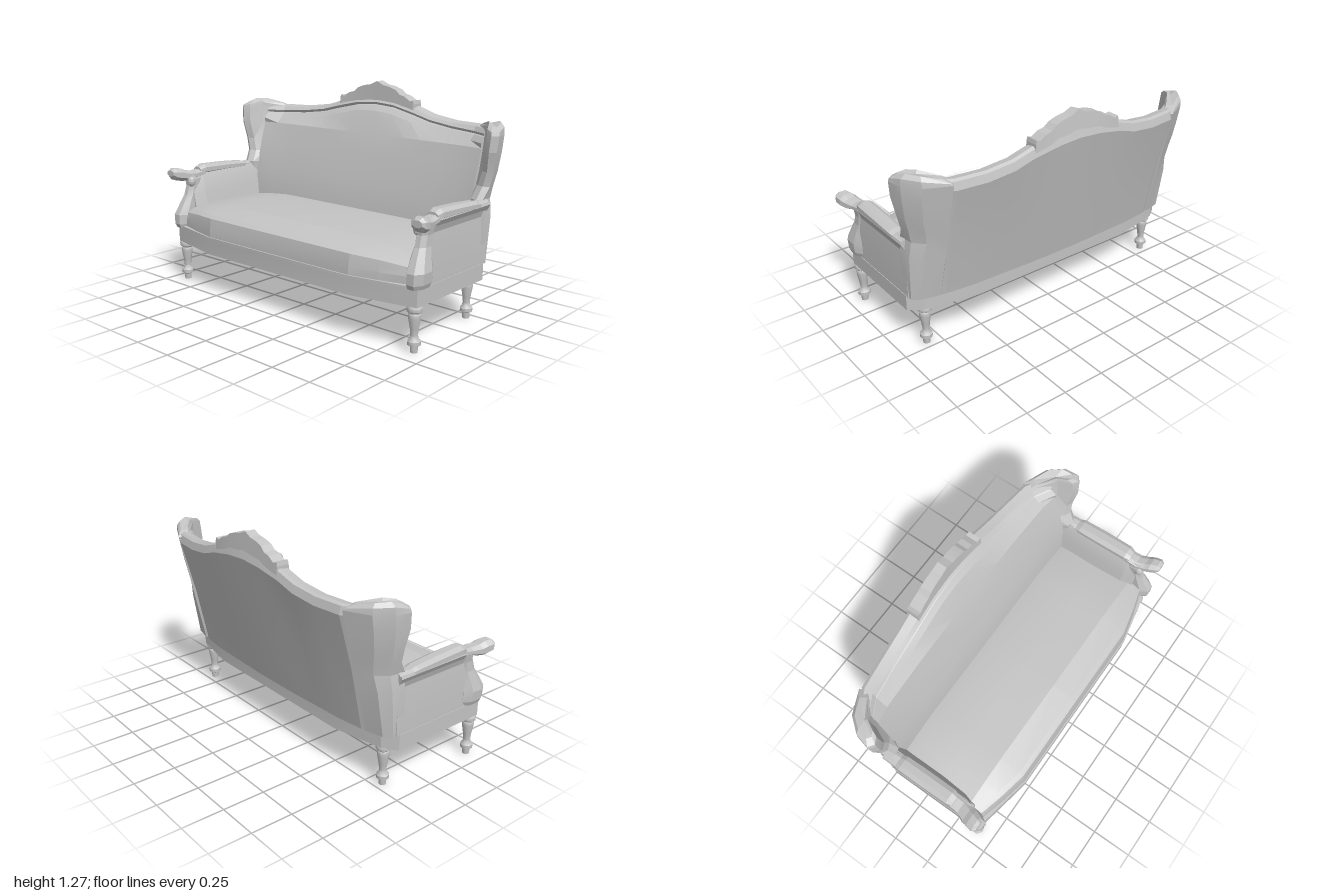
import * as THREE from 'three';
import { toCreasedNormals } from 'three/addons/utils/BufferGeometryUtils.js';

const fabric = new THREE.MeshStandardMaterial({ color: 0xc4c4c4 });
fabric.name = 'pale grey';

function part(name, geometry, crease = 0.2) {
  const mesh = new THREE.Mesh(toCreasedNormals(geometry, crease), fabric);
  mesh.name = name;
  return mesh;
}

// Closed skin through equal rings of [x, y, z] points, capped at both ends
function loft(rings) {
  const n = rings[0].length, m = rings.length;
  const pts = rings.flat();
  const tris = [];
  for (let r = 0; r < m - 1; r++) {
    for (let i = 0; i < n; i++) {
      const a = r * n + i, b = r * n + (i + 1) % n;
      tris.push([a, b, b + n], [a, b + n, a + n]);
    }
  }
  for (const r of [0, m - 1]) {
    const c = [0, 1, 2].map(k => rings[r].reduce((sum, p) => sum + p[k], 0) / n);
    const ci = pts.push(c) - 1;
    for (let i = 0; i < n; i++) {
      const a = r * n + i, b = r * n + (i + 1) % n;
      tris.push(r === 0 ? [b, a, ci] : [a, b, ci]);
    }
  }
  // Turn the skin outward whichever way the rings run
  const v = pts.map(p => new THREE.Vector3(...p));
  let volume = 0;
  for (const [a, b, c] of tris) volume += v[a].dot(v[b].clone().cross(v[c]));
  if (volume < 0) tris.forEach(t => t.reverse());
  const geometry = new THREE.BufferGeometry().setFromPoints(v);
  geometry.setIndex(tris.flat());
  return geometry;
}

// Horizontal slab from a half outline of [x, z], mirrored in x
function slab(half, y0, y1) {
  const plan = [...half, ...half.map(([x, z]) => [-x, z]).reverse()];
  return loft([y0, y1].map(y => plan.map(([x, z]) => [x, y, z])));
}

// Eight-sided bevelled cross-section as [u, v]
function bevelled(u0, u1, v0, v1, k = 0.28) {
  const du = (u1 - u0) * k, dv = (v1 - v0) * k;
  return [[u0 + du, v0], [u1 - du, v0], [u1, v0 + dv], [u1, v1 - dv],
    [u1 - du, v1], [u0 + du, v1], [u0, v1 - dv], [u0, v0 + dv]];
}

// Half rows [x, ...] listed from the centre out, spread to both sides
const bothSides = rows => [
  ...rows.slice(1).reverse().map(([x, ...rest]) => [-x, ...rest]), ...rows];

function backrest() {
  // x, top height, back z at top, back z at bottom, cushion top height
  const stations = bothSides([
    [0, 1.175, -0.50, -0.32, 1.125],
    [0.14, 1.165, -0.498, -0.32, 1.115],
    [0.30, 1.135, -0.49, -0.315, 1.08],
    [0.42, 1.098, -0.485, -0.31, 1.05],
    [0.58, 1.077, -0.472, -0.305, 1.03],
    [0.75, 1.075, -0.45, -0.285, 1.02],
    [0.85, 1.075, -0.395, -0.24, 1.02],
  ]);
  return loft(stations.map(([x, top, zt, zb, inner]) => {
    const d = zt + 0.5;
    return [
      [x, 0.33, zb], [x, 0.7, (zb + zt) / 2 + 0.005], [x, top - 0.055, zt], [x, top - 0.01, zt + 0.012],
      [x, top, zt + 0.03], [x, top - 0.01, zt + 0.08], [x, inner + 0.02, zt + 0.1],
      [x, inner + 0.005, zt + 0.09], [x, inner, zt + 0.1], [x, inner - 0.03, zt + 0.13],
      [x, 0.96, -0.305 + d * 0.3], [x, 0.85, -0.268 + d * 0.3], [x, 0.68, -0.215 + d * 0.2],
      [x, 0.52, -0.175], [x, 0.34, -0.16],
    ];
  }));
}

function wing(s) {
  const low = [[0.93, -0.15], [0.90, -0.14], [0.86, -0.15], [0.82, -0.20],
    [0.74, -0.24], [0.78, -0.287], [0.89, -0.262], [0.93, -0.228]];
  const high = [[1.0, -0.205], [0.965, -0.18], [0.925, -0.20], [0.88, -0.28],
    [0.74, -0.40], [0.77, -0.449], [0.91, -0.38], [0.98, -0.29]];
  // Lowering of each point round the rolled top
  const drop = [0.02, 0.02, 0.01, 0, 0.03, 0.03, 0.005, 0];
  // height, shift in x, shift of the front edge, scale about the middle
  const levels = [[0.335, 0, 0, 1], [0.6, -0.01, 0, 1], [0.7, -0.03, 0.01, 1], [0.77, -0.022, -0.025, 1],
    [0.85, -0.008, -0.025, 1], [0.96, 0, 0, 1], [1.05, 0, 0, 1], [1.09, 0, 0, 0.96], [1.113, -0.005, 0, 0.7]];
  return loft(levels.map(([y, dx, dz, k]) => low.map(([x, z], i) => {
    const t = Math.min(1, (y - 0.335) / 0.72);
    const px = x + (high[i][0] - x) * t + (i === 4 || i === 5 ? 0 : dx);
    const pz = z + (high[i][1] - z) * t + (i < 3 ? dz : 0);
    return [s * (0.9 + (px - 0.9) * k), y - (y > 1.06 ? drop[i] : 0), -0.31 + (pz + 0.31) * k];
  })));
}

function seat() {
  // x, front z, drop of the top
  const stations = bothSides([[0, 0.492, 0], [0.55, 0.492, 0], [0.72, 0.455, 0.015], [0.88, 0.41, 0.045]]);
  return loft(stations.map(([x, zf, drop]) => [
    [x, 0.34, zf], [x, 0.40, zf], [x, 0.47 - drop * 0.6, zf - 0.012], [x, 0.485 - drop * 0.6, zf - 0.04],
    [x, 0.522 - drop, 0.32], [x, 0.526 - drop, 0.1], [x, 0.522 - drop, -0.12], [x, 0.51 - drop, -0.2], [x, 0.34, -0.2],
  ]));
}

function arm(s) {
  const group = new THREE.Group();
  group.name = s > 0 ? 'leftArm' : 'rightArm';
  // Upholstered side panel, flaring out to meet the pad
  const panel = [[0.937, 0.34], [0.937, 0.5], [0.93, 0.61], [0.942, 0.645], [0.96, 0.675], [0.955, 0.69],
    [0.875, 0.685], [0.855, 0.64], [0.835, 0.56], [0.815, 0.46], [0.82, 0.34]];
  group.add(part('armPanel', loft([[-0.21, 0], [0.1, 0], [0.27, 0.012], [0.345, 0.035]].map(([z, inset]) =>
    panel.map(([x, y]) => [s * (x < 0.88 ? x + inset : Math.min(x, 0.972 - inset)), y, z])))));
  // Padded arm top: z, half width, bottom, top
  const pad = [[-0.21, 0.03, 0.65, 0.705], [-0.12, 0.04, 0.66, 0.7], [-0.09, 0.046, 0.665, 0.71],
    [0.06, 0.048, 0.668, 0.722], [0.24, 0.046, 0.668, 0.73], [0.275, 0.036, 0.665, 0.715]];
  group.add(part('armPad', loft(pad.map(([z, w, y0, y1]) =>
    bevelled(0.917 - w, 0.917 + w, y0, y1).map(([x, y]) => [s * x, y, z])))));
  // Curved front post: y, inner x, outer x, back z, front z
  const post = [[0.345, 0.87, 0.955, 0.30, 0.44], [0.37, 0.865, 0.965, 0.29, 0.452], [0.43, 0.865, 0.97, 0.29, 0.452],
    [0.49, 0.867, 0.955, 0.29, 0.42], [0.55, 0.872, 0.94, 0.28, 0.385], [0.61, 0.872, 0.938, 0.27, 0.367],
    [0.65, 0.872, 0.945, 0.26, 0.37], [0.69, 0.885, 0.95, 0.26, 0.39]];
  group.add(part('armPost', loft(post.map(([y, x0, x1, z0, z1]) =>
    bevelled(x0, x1, z0, z1).map(([x, z]) => [s * x, y, z])))));
  // Scrolled hand rest: z, middle x, half width, bottom, top
  const hand = [[0.24, 0.915, 0.04, 0.66, 0.705], [0.32, 0.92, 0.045, 0.65, 0.695], [0.37, 0.935, 0.048, 0.64, 0.705],
    [0.40, 0.945, 0.05, 0.64, 0.72], [0.44, 0.955, 0.045, 0.65, 0.725], [0.46, 0.957, 0.03, 0.675, 0.712]];
  group.add(part('armScroll', loft(hand.map(([z, cx, w, y0, y1]) =>
    bevelled(cx - w, cx + w, y0, y1).map(([x, y]) => [s * x, y, z])))));
  // Small carved boss inside the scroll
  const boss = new THREE.SphereGeometry(0.028, 8, 6);
  boss.scale(0.8, 1.2, 1);
  boss.translate(s * 0.885, 0.635, 0.35);
  group.add(part('armBoss', boss));
  return group;
}

// Carved crest, its back leaning forward towards the top
function crest() {
  const half = bothSides([[0, 1.272], [0.05, 1.25], [0.10, 1.242], [0.15, 1.225], [0.18, 1.2],
    [0.22, 1.19], [0.26, 1.165], [0.285, 1.172], [0.29, 1.15]]);
  return loft(half.map(([x, top]) => {
    const bow = x * x * 0.12;
    return [[x, 1.1, -0.41 + bow], [x, top, -0.415 + bow],
      [x, top, -0.498 + (top - 1.12) * 0.15 + bow], [x, 1.1, -0.495 + bow]];
  }));
}

export function createModel() {
  const sofa = new THREE.Group();
  sofa.name = 'sofa';

  // Wooden base with bowed front and back, and a lip along the front
  const plan = [[0.55, 0.495], [0.94, 0.42], [0.94, -0.19], [0.86, -0.245], [0.55, -0.303]];
  sofa.add(part('base', slab(plan, 0.25, 0.343)));
  sofa.add(part('baseTrim', slab([[0.55, 0.5], [0.93, 0.425], [0.93, -0.18]], 0.343, 0.358)));

  sofa.add(part('seat', seat()));
  sofa.add(part('backrest', backrest()));
  sofa.add(part('crest', crest()));

  // Turned legs, the rear pair set closer together
  const profile = [[0, 0], [0.02, 0], [0.022, 0.035], [0.036, 0.042], [0.036, 0.062], [0.026, 0.072], [0.02, 0.09],
    [0.024, 0.13], [0.034, 0.185], [0.034, 0.205], [0.03, 0.212], [0.042, 0.222], [0.044, 0.24], [0.038, 0.252], [0, 0.252]];
  const legShape = new THREE.LatheGeometry(profile.map(p => new THREE.Vector2(...p)), 10);

  for (const s of [1, -1]) {
    sofa.add(part('wing', wing(s)));
    sofa.add(arm(s));
    for (const [name, x, z] of [['frontLeg', 0.905, 0.39], ['rearLeg', 0.835, -0.2]]) {
      const leg = part(name, legShape, 0.7);
      leg.position.set(s * x, 0, z);
      sofa.add(leg);
    }
  }
  return sofa;
}
